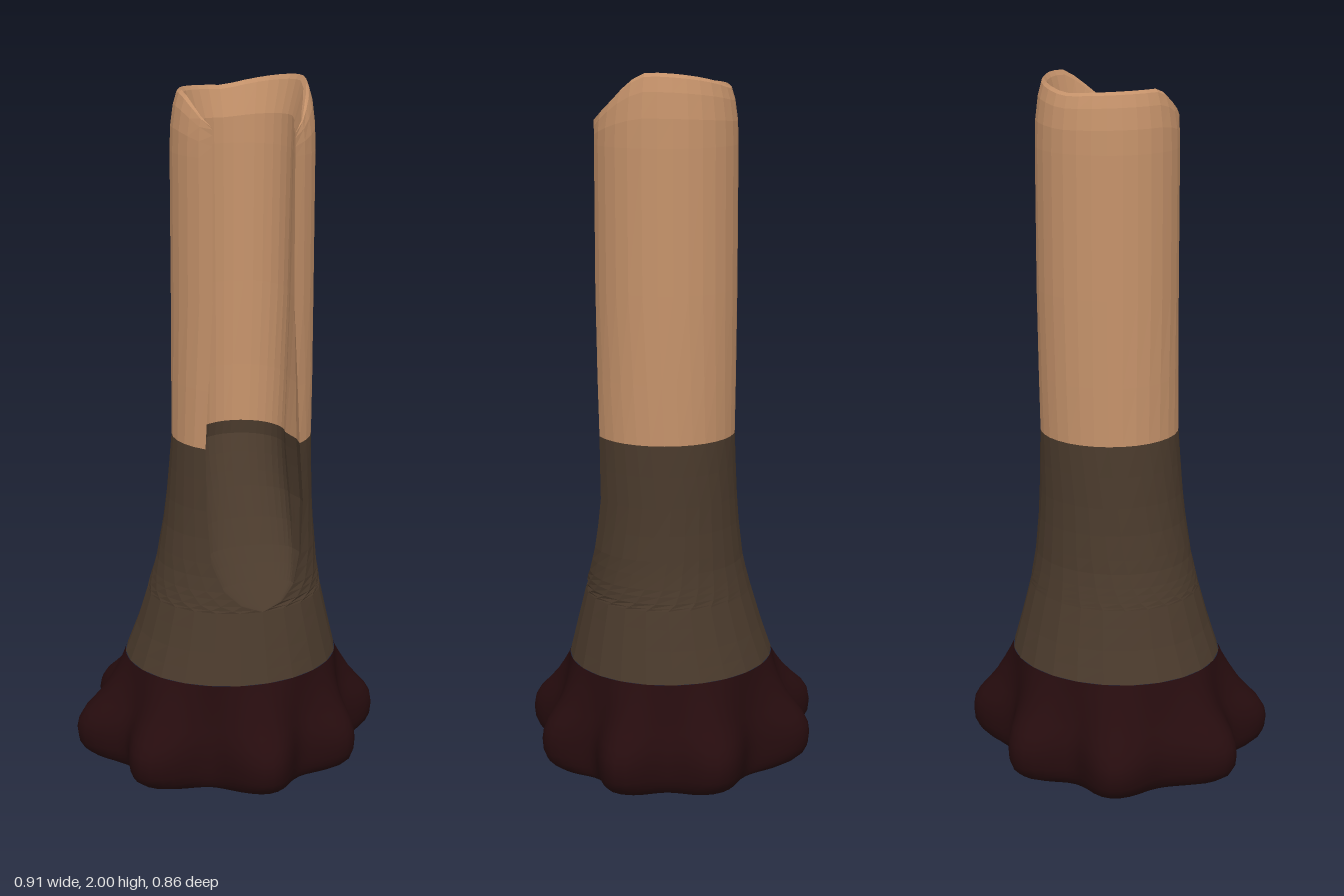
import * as THREE from 'three';
import { mergeVertices } from 'three/addons/utils/BufferGeometryUtils.js';

const lerp = THREE.MathUtils.lerp;

// Linear lookup in rows of [y, ...values]
function lookup(table, y) {
  let i = 0;
  while (i < table.length - 2 && y > table[i + 1][0]) i++;
  const a = table[i], b = table[i + 1];
  const t = THREE.MathUtils.clamp((y - a[0]) / (b[0] - a[0]), 0, 1);
  return a.slice(1).map((v, k) => lerp(v, b[k + 1], t));
}

// Trunk outline: y, centre x, centre z, radius x, radius z
const OUTLINE = [
  [0.31, 0.012, -0.008, 0.315, 0.296],
  [0.4, 0.018, -0.005, 0.287, 0.27],
  [0.51, 0.022, -0.003, 0.258, 0.24],
  [0.6, 0.028, 0, 0.238, 0.222],
  [0.75, 0.035, 0, 0.217, 0.207],
  [0.98, 0.043, 0, 0.203, 0.2],
  [1.3, 0.046, -0.003, 0.204, 0.202],
  [2, 0.046, -0.003, 0.204, 0.202],
];
// Front opening: y, right edge x, left edge x
const SLOT = [
  [0.51, 0.03, 0.03], [0.53, -0.03, 0.09], [0.57, -0.075, 0.135], [0.65, -0.105, 0.165],
  [0.8, -0.11, 0.18], [0.98, -0.108, 0.165], [1.4, -0.09, 0.138], [2, -0.09, 0.135],
];

// Surface through rows of points
function skin(rows) {
  const n = rows[0].length, index = [];
  for (let j = 0; j < rows.length - 1; j++) {
    for (let i = 0; i < n - 1; i++) {
      const a = j * n + i, b = a + n;
      index.push(a, a + 1, b + 1, a, b + 1, b);
    }
  }
  const geo = new THREE.BufferGeometry();
  geo.setAttribute('position', new THREE.Float32BufferAttribute(rows.flat(2), 3));
  geo.setIndex(index);
  return geo;
}

function faceted(rows) {
  const geo = skin(rows).toNonIndexed();
  geo.computeVertexNormals();
  return geo;
}

const COLS = 24;

// One C-shaped row of the trunk, from the left slot edge round the back to the right one.
// inset = wall thickness, pull = 0 draws the row forward onto the slot, lift = share of the way to the rim
function trunkRow(y, inset = 0, pull = 1, lift = 0) {
  const [cx, cz, rx, rz] = lookup(OUTLINE, y);
  const [x0, x1] = lookup(SLOT, y);
  const start = Math.asin((x1 - cx) / rx);
  const end = Math.PI * 2 + Math.asin((x0 - cx) / rx);
  const zs = cz + rz * Math.cos(start), ze = cz + rz * Math.cos(end);
  const row = [];
  for (let i = 0; i <= COLS; i++) {
    const u = i / COLS, a = lerp(start, end, u);
    // The wall thins to a sharp lip at the slot
    const wall = inset * Math.min(1, Math.min(a - start, end - a) / 0.5);
    const s = Math.sin(a), c = Math.cos(a), w = (1 - Math.cos(Math.PI * u)) / 2;
    const rim = 1.96 + (s > 0 ? 0.04 : -0.01) * s - 0.13 * Math.max(0, c) ** 1.5;
    row.push([
      lerp(lerp(x1, x0, w), cx + (rx - wall) * s, pull),
      lerp(y, rim, lift),
      lerp(lerp(zs, ze, w), cz + (rz - wall) * c, pull),
    ]);
  }
  return row;
}

// Rim rows narrow inwards as they rise
function rimRow(lift, inset) {
  return trunkRow(1.8, inset, 1, lift);
}

// Root lobes: angle from the front in degrees, tip radius, radius of the following hollow
const LOBES = [
  [0, 0.427, 0.335], [45, 0.415, 0.345], [86, 0.457, 0.385], [124, 0.452, 0.34],
  [177, 0.432, 0.355], [218, 0.462, 0.385], [265, 0.458, 0.36], [307, 0.44, 0.322], [360, 0.427, 0.335],
];

function lobeRadius(deg) {
  let i = 0;
  while (i < LOBES.length - 2 && deg > LOBES[i + 1][0]) i++;
  const [a0, tip, hollow] = LOBES[i], [a1, nextTip] = LOBES[i + 1];
  const t = (deg - a0) / (a1 - a0);
  const peak = t < 0.5 ? tip : nextTip;
  return lerp(hollow, peak, (1 + Math.cos(t * Math.PI * 2)) / 2);
}

// Root rows: y and how far the ring swells into the lobes
function rootRow(y, swell, scale = 1) {
  const [cx, cz, rx, rz] = lookup(OUTLINE, 0.31);
  const row = [], n = 96;
  for (let i = 0; i <= n; i++) {
    const deg = (i % n) * 360 / n, a = THREE.MathUtils.degToRad(deg);
    const r = lobeRadius(deg);
    row.push([
      scale * lerp(cx + rx * Math.sin(a), r * Math.sin(a), swell), y,
      scale * lerp(cz + rz * Math.cos(a), r * Math.cos(a), swell),
    ]);
  }
  return row;
}

export function createModel() {
  const paint = (name, color) => {
    const m = new THREE.MeshStandardMaterial({ color });
    m.name = name;
    return m;
  };
  const tan = paint('tan wood', 0xc6936b);
  const bark = paint('dark bark', 0x4a3a2c);
  const root = paint('root maroon', 0x260c0e);

  const model = new THREE.Group();
  model.name = 'hollowTrunk';
  const add = (name, geo, mat) => {
    const mesh = new THREE.Mesh(geo, mat);
    mesh.name = name;
    model.add(mesh);
  };

  // Upper trunk: up the outside, over the rim and down the inside
  add('upperTrunk', faceted([
    ...[0.98, 1.15, 1.4, 1.8].map((y) => trunkRow(y)),
    rimRow(0.4, 0.002), rimRow(0.75, 0.01), rimRow(0.95, 0.02), rimRow(1, 0.028),
    rimRow(0.93, 0.036), rimRow(0.45, 0.06),
    ...[1.8, 1.4, 1.15, 0.98].map((y) => trunkRow(y, lerp(0.075, 0.063, (y - 0.98) / 0.82))),
  ]), tan);

  // Lower trunk, closed below the opening
  add('lowerTrunk', faceted(
    [0.31, 0.35, 0.4, 0.46, 0.51, 0.517, 0.53, 0.55, 0.57, 0.61, 0.65, 0.72, 0.8, 0.89, 0.98]
      .map((y) => trunkRow(y))), bark);

  // Sloping scoop at the bottom of the hollow
  add('hollowFloor', faceted(
    [0.98, 0.94, 0.89, 0.84, 0.8, 0.72, 0.65, 0.61, 0.57, 0.55, 0.53, 0.517, 0.51]
      .map((y) => trunkRow(y, 0.075, Math.min(1, (y - 0.51) / 0.43) ** 0.9))), bark);

  // Lobed roots, smooth, with a closed underside
  const rootGeo = mergeVertices(skin([
    rootRow(0, 0, 0), rootRow(0.004, 0.2, 0.6), rootRow(0, 0.5), rootRow(0.012, 0.7), rootRow(0.03, 0.87),
    rootRow(0.055, 0.97), rootRow(0.09, 1), rootRow(0.12, 0.96), rootRow(0.15, 0.83),
    rootRow(0.18, 0.62), rootRow(0.21, 0.43), rootRow(0.25, 0.24), rootRow(0.28, 0.11), rootRow(0.31, 0),
  ]));
  rootGeo.computeVertexNormals();
  add('roots', rootGeo, root);

  return model;
}
